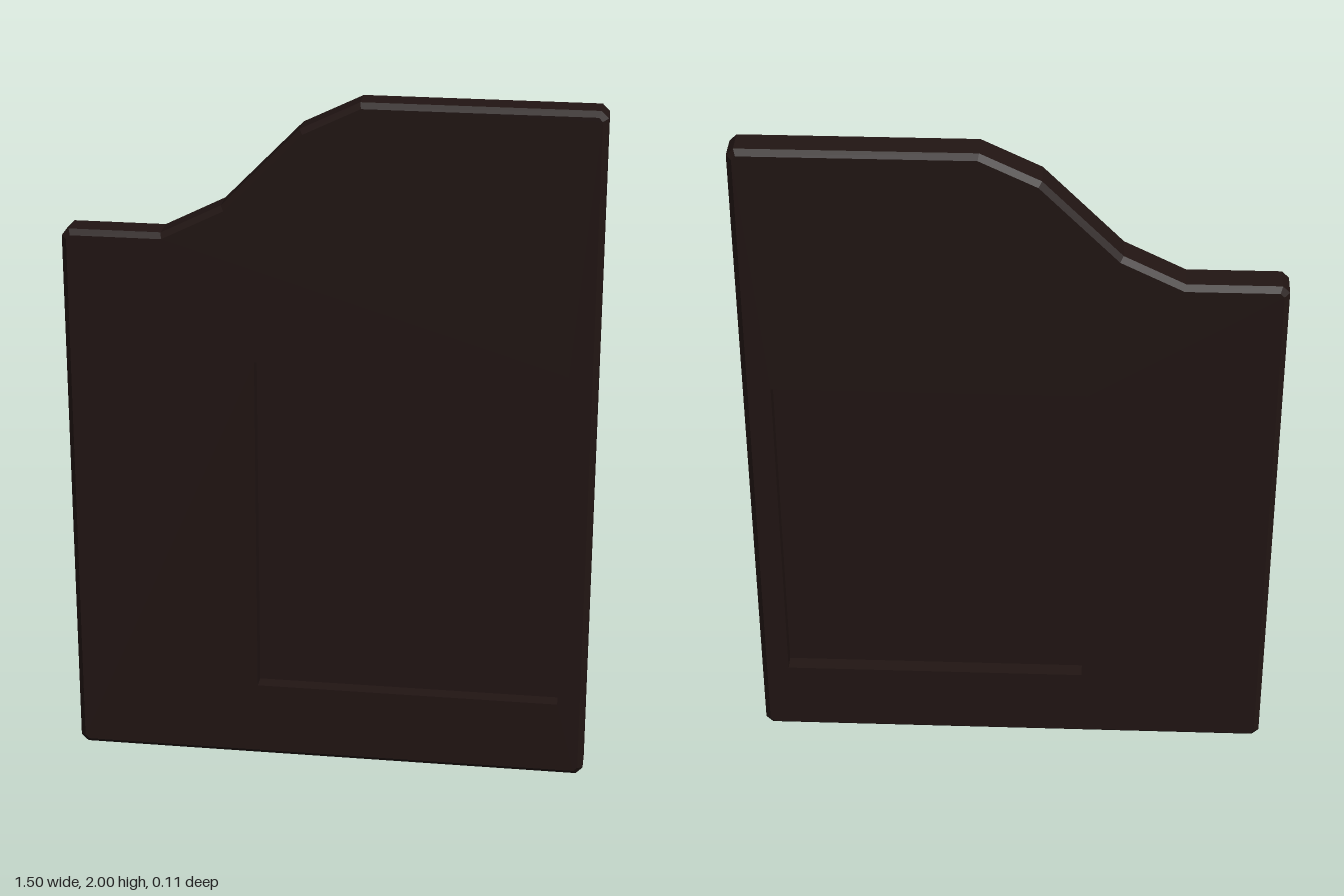
import * as THREE from 'three';

const HALF = 0.053;   // half thickness
const BEVEL = 0.015;  // chamfer around the outer edge
const CUT = 0.02;     // clipped corners of the outline
const WEB = 0.008;    // half thickness of the recessed panel

// Outline, counter-clockwise, with a stepped S-curve along the top
const outline = [
  [-0.75 + CUT, 0], [0.75 - CUT, 0], [0.75, CUT], [0.75, 2 - CUT], [0.75 - CUT, 2],
  [0.085, 2], [-0.08, 1.92], [-0.3, 1.695], [-0.47, 1.61],
  [-0.75 + CUT, 1.61], [-0.75, 1.61 - CUT], [-0.75, CUT],
].map(([x, y]) => new THREE.Vector2(x, y));

// Recess rectangle, clockwise so that its walls face inwards
const recess = [[-0.21, 0.23], [-0.21, 1.245], [0.67, 1.245], [0.67, 0.23]]
  .map(([x, y]) => new THREE.Vector2(x, y));

// Moves every edge of a counter-clockwise loop inwards by d
function inset(loop, d) {
  const n = loop.length;
  return loop.map((p, i) => {
    const a = p.clone().sub(loop[(i + n - 1) % n]).normalize();
    const b = loop[(i + 1) % n].clone().sub(p).normalize();
    const na = new THREE.Vector2(-a.y, a.x), nb = new THREE.Vector2(-b.y, b.x);
    return p.clone().addScaledVector(na.clone().add(nb), d / (1 + na.dot(nb)));
  });
}

// Flat-shaded strip joining rings [loop, z], ordered front to back
function loft(rings) {
  const pos = [];
  for (let r = 0; r + 1 < rings.length; r++) {
    const [A, za] = rings[r], [B, zb] = rings[r + 1];
    for (let i = 0; i < A.length; i++) {
      const j = (i + 1) % A.length;
      pos.push(A[i].x, A[i].y, za, B[i].x, B[i].y, zb, A[j].x, A[j].y, za);
      pos.push(A[j].x, A[j].y, za, B[i].x, B[i].y, zb, B[j].x, B[j].y, zb);
    }
  }
  const g = new THREE.BufferGeometry();
  g.setAttribute('position', new THREE.Float32BufferAttribute(pos, 3));
  g.computeVertexNormals();
  return g;
}

export function createModel() {
  const group = new THREE.Group();
  group.name = 'doorPanel';
  const wood = new THREE.MeshStandardMaterial({ color: 0x211513 });
  const add = (name, geometry) => {
    const mesh = new THREE.Mesh(geometry, wood);
    mesh.name = name;
    group.add(mesh);
    return mesh;
  };

  // Chamfered outer edge
  const inner = inset(outline, BEVEL);
  add('outerEdge', loft([
    [inner, HALF], [outline, HALF - BEVEL], [outline, BEVEL - HALF], [inner, -HALF],
  ]));

  // Front and back faces, open at the recess
  const shape = new THREE.Shape(inner);
  shape.holes.push(new THREE.Path(recess));
  add('frontFace', new THREE.ShapeGeometry(shape).translate(0, 0, HALF));
  const back = new THREE.ShapeGeometry(shape).translate(0, 0, -HALF);
  const index = back.getIndex();
  index.array.reverse();
  back.computeVertexNormals();
  add('backFace', back);

  // Recess walls and the thin panel between the two recesses
  add('recessWalls', loft([[recess, HALF], [recess, -HALF]]));
  const w = recess[2].x - recess[0].x, h = recess[2].y - recess[0].y;
  add('recessedPanel', new THREE.BoxGeometry(w, h, 2 * WEB))
    .position.set(recess[0].x + w / 2, recess[0].y + h / 2, 0);

  return group;
}
